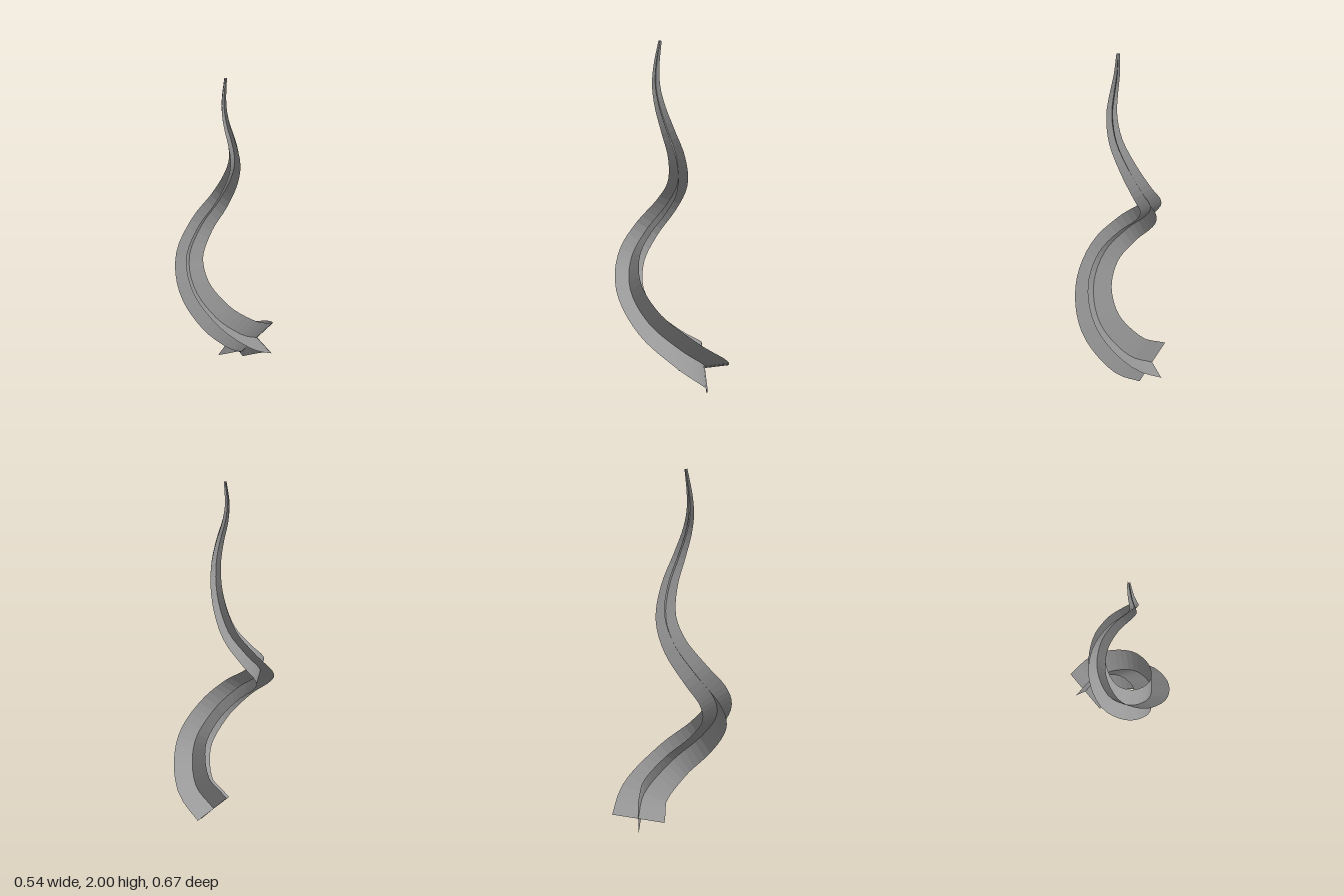
import * as THREE from 'three';

const SEGMENTS = 56;
const START_HALF = 0.147, END_HALF = 0.008;

// Centre line: a spiral that tightens as it climbs
const spine = new THREE.CatmullRomCurve3([
  [-0.025, 0.12, -0.193], [0.105, 0.217, -0.137], [0.175, 0.375, 0.035], [0.108, 0.528, 0.188],
  [-0.02, 0.68, 0.246], [-0.145, 0.82, 0.195], [-0.195, 0.95, 0.09], [-0.145, 1.097, -0.01],
  [-0.06, 1.235, -0.043], [0.01, 1.4, -0.01], [0.042, 1.55, 0.05], [0.033, 1.68, 0.09],
  [0.01, 1.78, 0.101], [-0.003, 1.88, 0.093], [0.002, 2, 0.075],
].map((p) => new THREE.Vector3(...p)), false, 'centripetal');

// Sections along the spine, their frame carried upward without extra twist
function makeSections() {
  const sections = [];
  const across = new THREE.Vector3(0.262, 0.067, -0.963);
  let previous = null;
  for (let i = 0; i <= SEGMENTS; i++) {
    const t = i / SEGMENTS;
    const tangent = spine.getTangentAt(t);
    if (previous) {
      across.applyQuaternion(new THREE.Quaternion().setFromUnitVectors(previous, tangent));
    }
    across.addScaledVector(tangent, -across.dot(tangent)).normalize();
    sections.push({
      centre: spine.getPointAt(t),
      across: across.clone(),
      upright: new THREE.Vector3().crossVectors(tangent, across),
      half: THREE.MathUtils.lerp(START_HALF, END_HALF, t),
    });
    previous = tangent;
  }
  return sections;
}

// Flat ribbon spanning the chosen frame axis on both sides of the spine
function makeRibbon(name, sections, axis, material) {
  const positions = [], index = [];
  sections.forEach((s, i) => {
    for (const side of [-1, 0, 1]) {
      positions.push(...s.centre.clone().addScaledVector(s[axis], side * s.half).toArray());
    }
    if (i === 0) return;
    for (let k = 0; k < 2; k++) {
      const a = (i - 1) * 3 + k, b = a + 3;
      index.push(a, a + 1, b, a + 1, b + 1, b);
    }
  });
  const geometry = new THREE.BufferGeometry();
  geometry.setAttribute('position', new THREE.Float32BufferAttribute(positions, 3));
  geometry.setIndex(index);
  geometry.computeVertexNormals();
  const mesh = new THREE.Mesh(geometry, material);
  mesh.name = name;
  return mesh;
}

export function createModel() {
  const group = new THREE.Group();
  group.name = 'spiralBlade';
  const material = new THREE.MeshStandardMaterial({
    color: 0x989898, side: THREE.DoubleSide, flatShading: true,
  });
  const sections = makeSections();
  // Two crossed ribbons form the plus-shaped section
  group.add(makeRibbon('acrossRibbon', sections, 'across', material));
  group.add(makeRibbon('uprightRibbon', sections, 'upright', material));
  return group;
}
